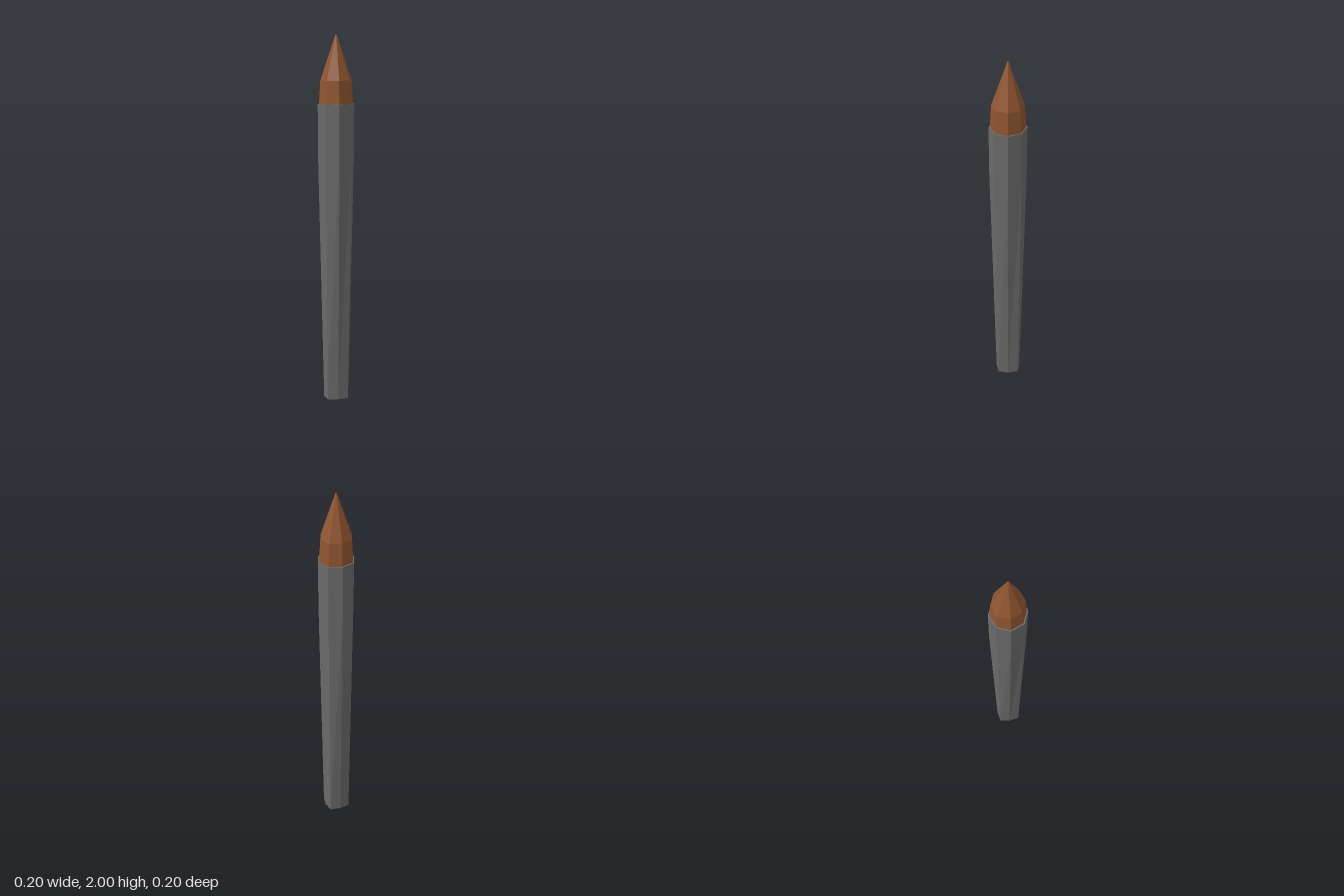
import * as THREE from 'three';

const SIDES = 8;

// Eight-sided frustum between two heights, with corners on the axes
function frustum(name, rTop, rBottom, yTop, yBottom, color, open = true) {
  const geo = new THREE.CylinderGeometry(rTop, rBottom, yTop - yBottom, SIDES, 1, open);
  geo.translate(0, (yTop + yBottom) / 2, 0);
  const mat = new THREE.MeshStandardMaterial({ color, flatShading: true });
  const mesh = new THREE.Mesh(geo, mat);
  mesh.name = name;
  return mesh;
}

export function createModel() {
  const model = new THREE.Group();
  model.name = 'stake';
  const grey = 0x6a6a6a, brown = 0x8f5530;

  // Shaft: a regular octagon at the top that grows squarer toward the foot
  const shaft = new THREE.Group();
  shaft.name = 'shaft';
  const collar = frustum('shaftTop', 0.1, 0.099, 1.635, 1.36, grey, false);
  const lower = frustum('shaftLower', 0.099, 0.068, 1.36, 0, grey, false);
  const pos = lower.geometry.attributes.position;
  for (let i = 0; i < pos.count; i++) {
    const x = pos.getX(i), z = pos.getZ(i);
    const diagonal = Math.abs(x) > 0.01 && Math.abs(z) > 0.01;
    if (pos.getY(i) < 0.01 && diagonal) {
      pos.setX(i, Math.sign(x) * 0.057);
      pos.setZ(i, Math.sign(z) * 0.057);
    }
  }
  lower.geometry.computeVertexNormals();
  shaft.add(collar, lower);

  // Sharpened wooden point
  const point = new THREE.Group();
  point.name = 'point';
  point.add(
    frustum('pointBase', 0.086, 0.093, 1.76, 1.635, brown),
    frustum('pointTip', 0.004, 0.086, 2, 1.76, brown, false)
  );

  model.add(shaft, point);
  return model;
}
